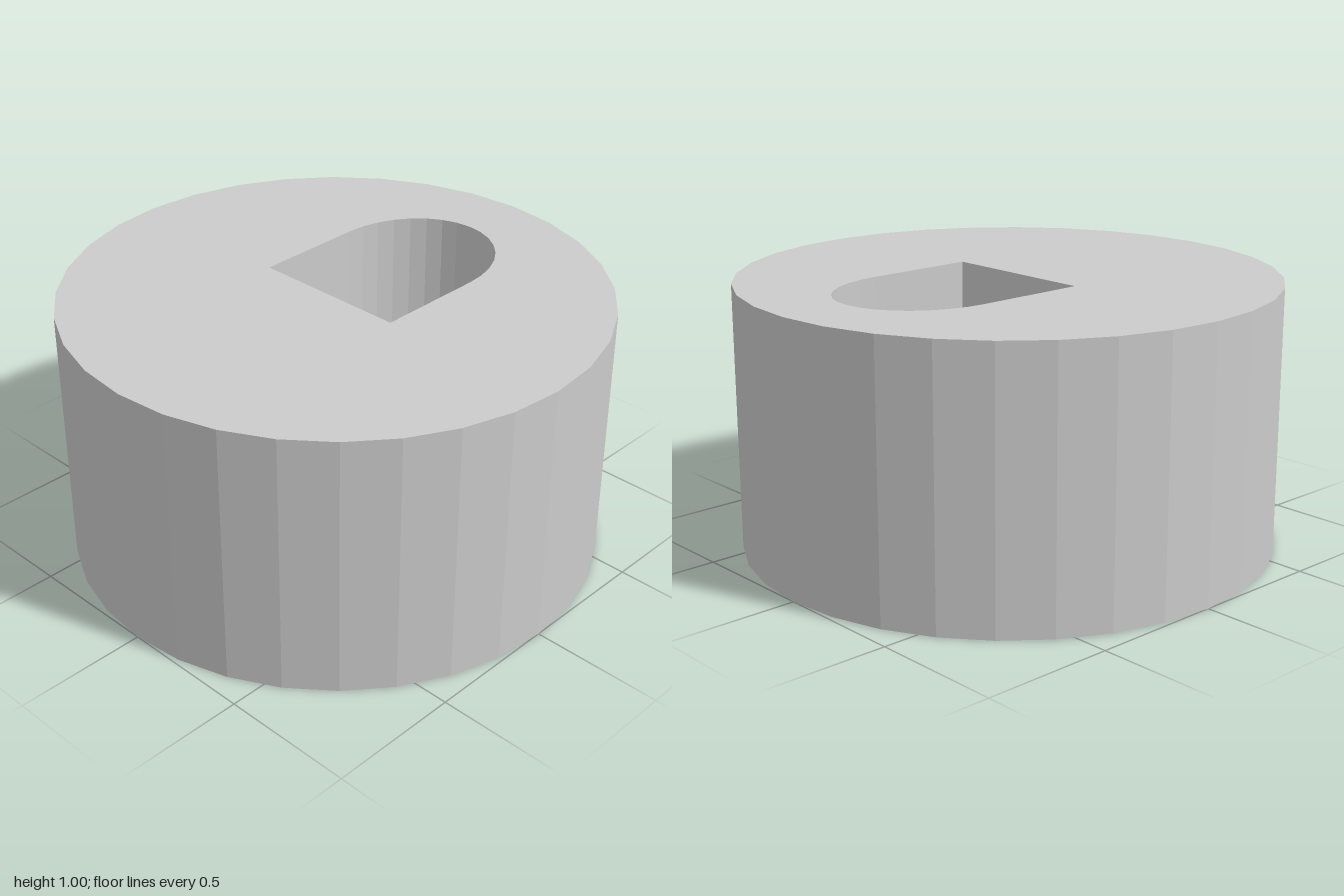
import * as THREE from 'three';

// Points along an elliptical arc, end points included
function arcPoints(cy, rx, ry, sweep, segments) {
  const points = [];
  for (let i = 0; i <= segments; i++) {
    const a = (sweep * i) / segments;
    points.push(new THREE.Vector2(rx * Math.cos(a), cy + ry * Math.sin(a)));
  }
  return points;
}

export function createModel() {
  const group = new THREE.Group();
  const material = new THREE.MeshStandardMaterial({ color: 0xcccccc, flatShading: true });

  // 32-sided disc outline
  const outline = new THREE.Shape(arcPoints(0, 1, 1, Math.PI * 2, 32).slice(0, -1));

  // Arched through-hole: straight sides, flat front, elliptical back
  const halfWidth = 0.302, front = -0.04, spring = 0.385, rise = 0.353;
  outline.holes.push(new THREE.Path([
    new THREE.Vector2(-halfWidth, front),
    new THREE.Vector2(halfWidth, front),
    ...arcPoints(spring, halfWidth, rise, Math.PI, 16),
  ]));

  // Extrude upward from the ground
  const geometry = new THREE.ExtrudeGeometry(outline, { depth: 1, bevelEnabled: false });
  geometry.rotateX(-Math.PI / 2);

  const body = new THREE.Mesh(geometry, material);
  body.name = 'discWithArchedHole';
  group.add(body);
  return group;
}
